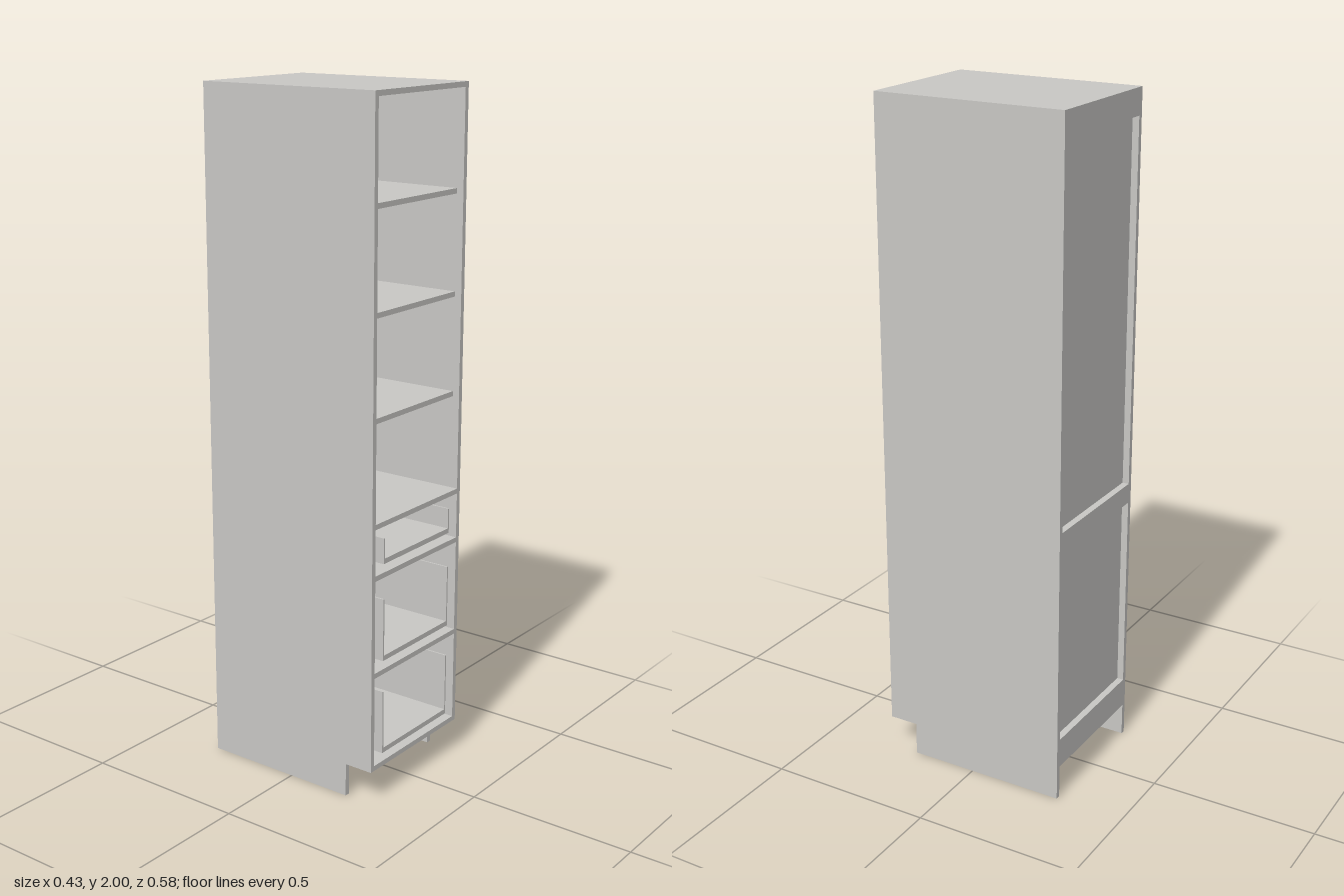
import * as THREE from 'three';

const W = 0.433, D = 0.578, T = 0.015; // overall width, depth, board thickness
const XI = W / 2 - T;                  // inner face of the side panels
const ZF = D / 2, ZB = -D / 2;
const BACK = ZB + 0.02;                // outer face of the recessed back panel

export function createModel() {
  const model = new THREE.Group();
  const board = new THREE.MeshStandardMaterial({ color: 0xc8c7c4 });
  board.name = 'warmGreyBoard';

  // Box given by its limits on each axis
  function box(name, x0, x1, y0, y1, z0, z1, parent = model) {
    const mesh = new THREE.Mesh(new THREE.BoxGeometry(x1 - x0, y1 - y0, z1 - z0), board);
    mesh.position.set((x0 + x1) / 2, (y0 + y1) / 2, (z0 + z1) / 2);
    mesh.name = name;
    parent.add(mesh);
    return mesh;
  }

  // Side panels with a toe notch at the lower front
  const outline = new THREE.Shape([
    [ZB, 0], [0.2, 0], [0.2, 0.1], [ZF, 0.1], [ZF, 2], [ZB, 2],
  ].map(([z, y]) => new THREE.Vector2(-z, y)));
  const sideGeometry = new THREE.ExtrudeGeometry(outline, { depth: T, bevelEnabled: false });
  sideGeometry.rotateY(Math.PI / 2);
  for (const [name, x] of [['rightSide', -W / 2], ['leftSide', XI]]) {
    const side = new THREE.Mesh(sideGeometry, board);
    side.position.x = x;
    side.name = name;
    model.add(side);
  }

  // Top, bottom and fixed dividers
  box('topPanel', -XI, XI, 2 - T, 2, ZB, ZF);
  box('bottomPanel', -XI, XI, 0.1, 0.1 + T, ZB, ZF);
  for (const y of [0.385, 0.675, 0.825]) box('divider', -XI, XI, y, y + T, BACK, ZF);

  // Loose shelves, set slightly back from the front
  for (const y of [1.115, 1.405, 1.695]) {
    box('shelf', -XI + 0.002, XI - 0.002, y, y + T, BACK + 0.006, ZF - 0.02);
  }

  // Recessed back panel and its rails
  box('backPanel', -XI, XI, 0.1 + T, 2 - T, BACK, BACK + 0.006);
  for (const [y0, y1] of [[0.1 + T, 0.19], [0.785, 0.845], [1.923, 2 - T]]) {
    box('backRail', -XI, XI, y0, y1, ZB, BACK);
  }

  // Drawer boxes without fronts
  const dx = 0.162, dt = 0.005, dBack = -0.23;
  for (const [y0, y1] of [[0.14, 0.33], [0.425, 0.61], [0.715, 0.79]]) {
    const drawer = new THREE.Group();
    drawer.name = 'drawer';
    box('drawerFloor', -dx + dt, dx - dt, y0, y0 + T, dBack, ZF, drawer);
    box('drawerBack', -dx + dt, dx - dt, y0 + T, y1, dBack, dBack + dt, drawer);
    box('drawerRightWall', -dx, -dx + dt, y0, y1, dBack, ZF, drawer);
    box('drawerLeftWall', dx - dt, dx, y0, y1, dBack, ZF, drawer);
    model.add(drawer);
  }
  return model;
}
